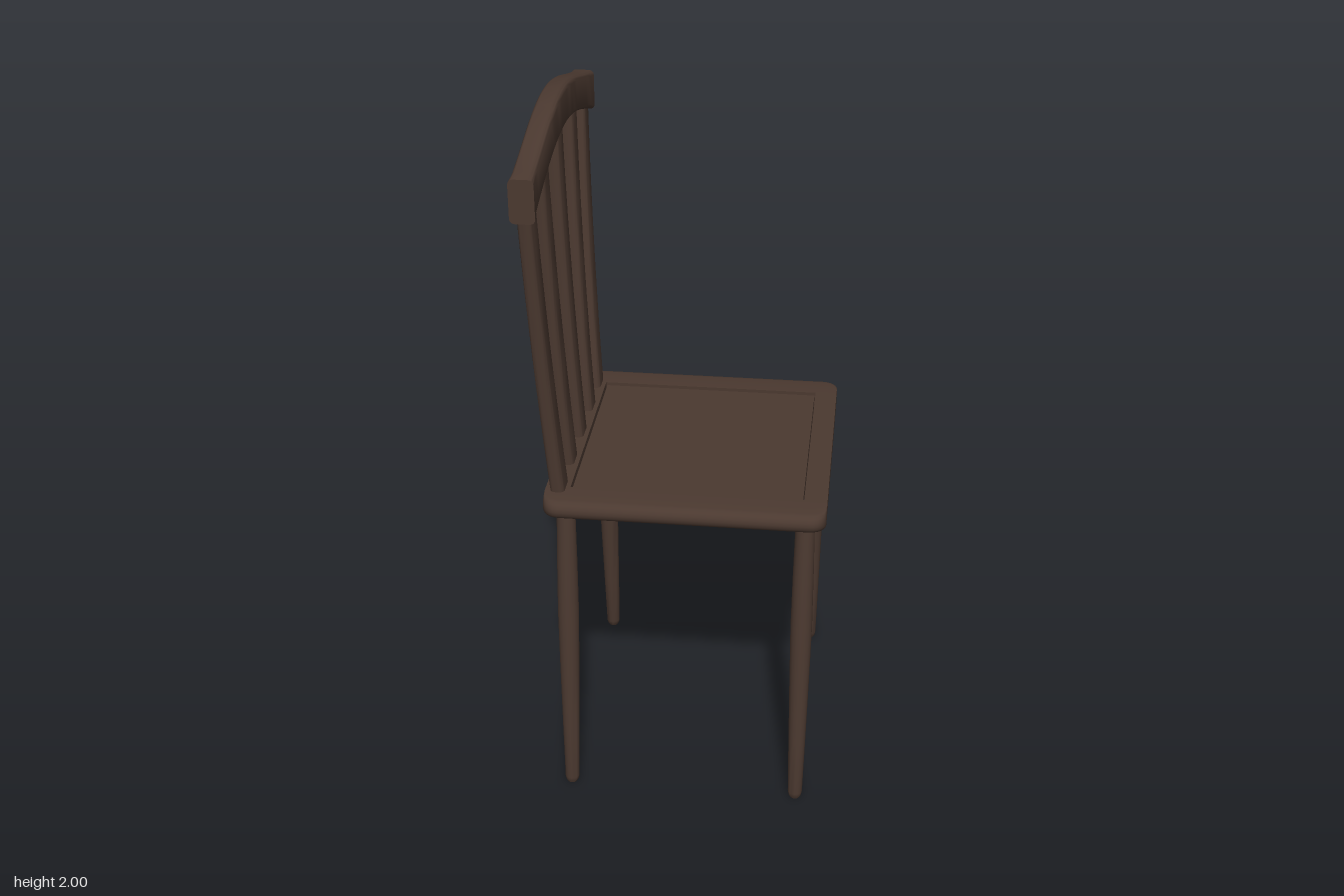
import * as THREE from 'three';
import { toCreasedNormals } from 'three/addons/utils/BufferGeometryUtils.js';

const darkWood = new THREE.MeshStandardMaterial({ color: 0x4b3930 });
darkWood.name = 'darkWood';

// Skin a list of equal-length rings of [x, y, z] points and cap both ends.
function loft(rings, crease = 0.6) {
  const n = rings[0].length;
  const pos = [];
  const tri = (a, b, c) => pos.push(...a, ...b, ...c);
  for (let i = 0; i < rings.length - 1; i++) {
    for (let j = 0; j < n; j++) {
      const k = (j + 1) % n;
      const [a, b, c, d] = [rings[i][j], rings[i][k], rings[i + 1][k], rings[i + 1][j]];
      tri(a, b, c);
      tri(a, c, d);
    }
  }
  const cap = (ring, flip) => {
    const mid = [0, 1, 2].map((q) => ring.reduce((s, p) => s + p[q], 0) / n);
    ring.forEach((p, j) => {
      const next = ring[(j + 1) % n];
      if (flip) tri(mid, next, p); else tri(mid, p, next);
    });
  };
  cap(rings[0], true);
  cap(rings[rings.length - 1], false);
  const g = new THREE.BufferGeometry();
  g.setAttribute('position', new THREE.Float32BufferAttribute(pos, 3));
  return toCreasedNormals(g, crease);
}

// Rounded-rectangle outline as [u, v] pairs, counter-clockwise.
function roundedSection(w, h, r, steps = 4) {
  const pts = [];
  const corners = [[1, 1], [-1, 1], [-1, -1], [1, -1]];
  corners.forEach(([su, sv], q) => {
    for (let i = 0; i <= steps; i++) {
      const a = (q + i / steps) * Math.PI / 2;
      pts.push([su * (w / 2 - r) + r * Math.cos(a), sv * (h / 2 - r) + r * Math.sin(a)]);
    }
  });
  return pts;
}

export function createModel() {
  const chair = new THREE.Group();
  chair.name = 'chair';
  const add = (name, geometry) => {
    const mesh = new THREE.Mesh(geometry, darkWood);
    mesh.name = name;
    chair.add(mesh);
    return mesh;
  };
  const box = (name, x0, x1, y0, y1, depth) => {
    add(name, new THREE.BoxGeometry(x1 - x0, y1 - y0, depth))
      .position.set((x0 + x1) / 2, (y0 + y1) / 2, 0);
  };

  // Seat panel and the two cross rails
  box('seatPanel', -0.303, 0.338, 0.922, 0.957, 0.636);
  box('frontSeatRail', 0.341, 0.405, 0.91, 0.965, 0.65);
  box('backSeatRail', -0.375, -0.307, 0.91, 0.965, 0.65);

  // Side rails: half-round outer edge, rounded corners in plan
  const x0 = -0.375, x1 = 0.405, corner = 0.045, half = 0.0275;
  const stations = [];
  for (let i = 0; i <= 6; i++) {
    const a = (i / 6) * Math.PI / 2;
    stations.push([corner * (1 - Math.cos(a)), corner * (1 - Math.sin(a))]);
  }
  const railPlan = [
    ...stations.map(([d, inset]) => [x0 + d, inset]),
    ...stations.map(([d, inset]) => [x1 - d, inset]).reverse(),
  ];
  for (const side of [1, -1]) {
    const rings = railPlan.map(([x, inset]) => {
      const ring = [[x, 0.9375 - half, side * 0.322]];
      for (let i = 0; i <= 8; i++) {
        const a = -Math.PI / 2 + (i / 8) * Math.PI;
        ring.push([x, 0.9375 + half * Math.sin(a), side * (0.42 - inset - half + half * Math.cos(a))]);
      }
      ring.push([x, 0.9375 + half, side * 0.322]);
      return side > 0 ? ring.reverse() : ring;
    });
    add(side > 0 ? 'leftSeatRail' : 'rightSeatRail', loft(rings));
  }

  // Splayed legs: [height, radius], swelling in the middle
  const legProfile = [[0, 0.014], [0.008, 0.019], [0.02, 0.021], [0.2, 0.0245], [0.4, 0.028],
    [0.58, 0.0305], [0.75, 0.029], [0.93, 0.026]];
  for (const [row, x] of [['back', -0.318], ['front', 0.347]]) {
    for (const side of [1, -1]) {
      const rings = legProfile.map(([y, r]) => {
        const z = side * (0.409 - 0.071 * y);
        return Array.from({ length: 16 }, (_, i) => {
          const a = (i / 16) * Math.PI * 2;
          return [x + r * Math.sin(a), y, z + r * Math.cos(a)];
        });
      });
      add(row + (side > 0 ? 'LeftLeg' : 'RightLeg'), loft(rings, 0.9));
    }
  }

  // Back slats: fanned outwards and bowed backwards
  const slats = [[-0.315, -0.408, 1.85], [-0.162, -0.221, 1.9], [0, 0, 1.93], [0.162, 0.221, 1.9], [0.315, 0.408, 1.85]];
  const slatSection = roundedSection(0.076, 0.04, 0.014);
  slats.forEach(([zLow, zHigh, top], s) => {
    const rings = [];
    for (let i = 0; i <= 10; i++) {
      const y = 0.94 + (top - 0.94) * (i / 10);
      const t = (y - 0.94) / 0.92;
      const x = -0.338 - 0.062 * t + 0.022 * t * t;
      const z = zLow + (zHigh - zLow) * (i / 10);
      rings.push(slatSection.map(([u, v]) => [x + v, y, z + u]));
    }
    add('backSlat' + (s + 1), loft(rings, 0.7));
  });

  // Arched crest rail
  const crestRings = [];
  for (let i = 0; i <= 24; i++) {
    const z = -0.46 + 0.92 * (i / 24);
    const q = Math.abs(z) / 0.46;
    const drop = 0.5 - 0.5 * Math.cos(Math.PI * Math.min(q, 1) * 0.8);
    const top = 2.0 - 0.088 * drop / 0.9045;
    const bottom = 1.893 - 0.098 * (0.6 * q * q + 0.4 * drop / 0.9045);
    const end = q > 0.97 ? 0.066 : 0.06;
    const section = roundedSection(end, top - bottom, 0.014);
    crestRings.push(section.map(([u, v]) => [-0.376 + u, (top + bottom) / 2 + v, z]));
  }
  add('crestRail', loft(crestRings, 0.7));

  return chair;
}
